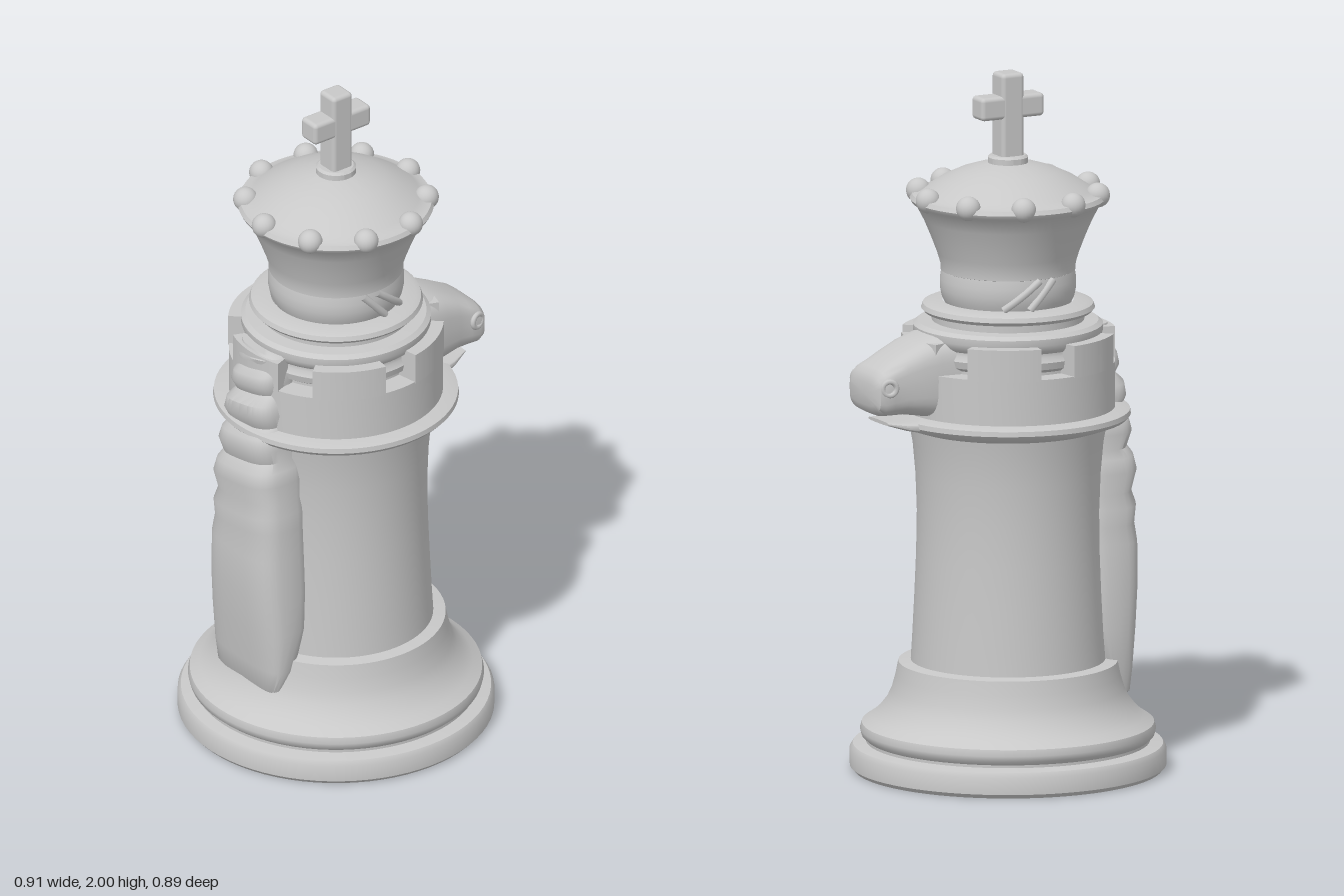
import * as THREE from 'three';
import { toCreasedNormals } from 'three/addons/utils/BufferGeometryUtils.js';
import { RoundedBoxGeometry } from 'three/addons/geometries/RoundedBoxGeometry.js';

const stone = new THREE.MeshStandardMaterial({ color: 0xc8c8c8 });
stone.name = 'stone grey';
const CX = -0.008; // axis of the turned parts

function add(parent, name, geometry, x = 0, y = 0, z = 0) {
  const mesh = new THREE.Mesh(geometry, stone);
  mesh.name = name;
  mesh.position.set(x, y, z);
  parent.add(mesh);
  return mesh;
}

// Turned part from [radius, height] pairs, bottom to top
function turned(profile) {
  const points = profile.map(([r, y]) => new THREE.Vector2(r, y));
  return toCreasedNormals(new THREE.LatheGeometry(points, 72), 0.6);
}

// Closed skin over rings; at(i, c, s) places a point of ring i
function loft(count, at, power, sides = 32) {
  const pos = [], index = [];
  const bend = v => Math.sign(v) * Math.abs(v) ** power;
  for (let i = 0; i < count; i++)
    for (let j = 0; j < sides; j++) {
      const t = (j / sides) * Math.PI * 2;
      pos.push(...at(i, bend(Math.cos(t)), bend(Math.sin(t))));
    }
  pos.push(...at(0, 0, 0), ...at(count - 1, 0, 0));
  const first = count * sides, last = (count - 1) * sides;
  for (let j = 0; j < sides; j++) {
    const k = (j + 1) % sides;
    for (let i = 0; i < count - 1; i++) {
      const a = i * sides + j, b = i * sides + k;
      index.push(a, a + sides, b, b, a + sides, b + sides);
    }
    index.push(first, j, k, first + 1, last + k, last + j);
  }
  const geo = new THREE.BufferGeometry();
  geo.setAttribute('position', new THREE.Float32BufferAttribute(pos, 3));
  geo.setIndex(index);
  return toCreasedNormals(geo, 0.75);
}

// Skin along x from [x, bottom, top, half width]
const loftX = (rows, power) => loft(rows.length, (i, c, s) => {
  const [x, lo, hi, w] = rows[i];
  return [x, (lo + hi) / 2 + c * (hi - lo) / 2, -s * w];
}, power);

export function createModel() {
  const model = new THREE.Group();
  model.name = 'chessPiece';

  // Foot disc and flared plinth
  add(model, 'base', turned([
    [0, 0], [0.435, 0], [0.446, 0.012], [0.446, 0.06], [0.437, 0.074], [0.4, 0.08],
    [0.4, 0.088], [0.413, 0.1], [0.417, 0.116], [0.412, 0.134], [0.385, 0.152], [0.365, 0.17],
    [0.342, 0.2], [0.328, 0.23], [0.317, 0.27], [0.309, 0.31], [0.272, 0.315],
  ]), CX);

  // Waisted column
  add(model, 'column', turned([
    [0.275, 0.3], [0.27, 0.38], [0.264, 0.5], [0.259, 0.62], [0.257, 0.74],
    [0.261, 0.85], [0.269, 0.94], [0.282, 1.01],
  ]), CX);

  // Tower ledge and wall
  add(model, 'towerWall', turned([
    [0.27, 0.985], [0.3, 0.995], [0.335, 1.008], [0.346, 1.02], [0.344, 1.034], [0.33, 1.038],
    [0.302, 1.042], [0.302, 1.172], [0.2, 1.172],
  ]), CX);

  // Six curved battlements
  const R = 0.304, a0 = THREE.MathUtils.degToRad(-20), a1 = -a0;
  const sector = new THREE.Shape();
  sector.absarc(0, 0, R, a0, a1, false);
  sector.absarc(0, 0, 0.23, a1, a0, true);
  sector.closePath();
  const block = toCreasedNormals(new THREE.ExtrudeGeometry(sector, {
    depth: 0.092, bevelEnabled: false, curveSegments: 14,
  }).rotateX(-Math.PI / 2), 0.6);
  for (let i = 0; i < 6; i++)
    add(model, 'battlement', block, CX, 1.168, 0).rotation.y = i * Math.PI / 3;

  // Stacked collars between tower and neck
  add(model, 'collars', turned([
    [0.24, 1.165], [0.24, 1.18], [0.255, 1.19], [0.26, 1.21], [0.25, 1.225], [0.25, 1.235],
    [0.262, 1.245], [0.268, 1.262], [0.268, 1.28], [0.255, 1.29], [0.215, 1.292],
    [0.215, 1.312], [0.236, 1.316], [0.245, 1.326], [0.24, 1.339], [0.225, 1.345],
    [0.185, 1.348],
  ]), CX);

  // Rounded neck with a slanting slit on the front and back
  add(model, 'neck', turned([
    [0.178, 1.34], [0.187, 1.36], [0.192, 1.385], [0.192, 1.41], [0.188, 1.435], [0.17, 1.44],
  ]), CX);
  for (const side of [1, -1])
    for (const [x0, x1, y0, y1] of [[-0.045, 0.03, 1.432, 1.35], [0, 0.1, 1.432, 1.352]]) {
      const pts = [0, 0.25, 0.5, 0.75, 1].map(t => {
        const x = x0 + (x1 - x0) * t;
        return new THREE.Vector3(x, y0 + (y1 - y0) * t, side * Math.sqrt(0.19 ** 2 - x * x));
      });
      add(model, 'slitEdge', new THREE.TubeGeometry(new THREE.CatmullRomCurve3(pts), 16, 0.011, 8), CX);
    }

  // Flared crown, rim and domed top
  add(model, 'crown', turned([
    [0.17, 1.428], [0.19, 1.436], [0.191, 1.455], [0.2, 1.485], [0.217, 1.53], [0.238, 1.58],
    [0.26, 1.622], [0.272, 1.63], [0.277, 1.64], [0.27, 1.652], [0.252, 1.655],
    [0.235, 1.665], [0.19, 1.695], [0.14, 1.718], [0.09, 1.734], [0.057, 1.741],
    [0.057, 1.757], [0.05, 1.763], [0, 1.763],
  ]), CX);
  const bead = new THREE.SphereGeometry(0.035, 20, 14);
  for (let i = 0; i < 10; i++) {
    const t = (i / 10) * Math.PI * 2;
    add(model, 'crownBead', bead, CX + 0.255 * Math.cos(t), 1.653, 0.255 * Math.sin(t));
  }

  // Cross
  add(model, 'crossUpright', new RoundedBoxGeometry(0.07, 0.25, 0.07, 3, 0.012), CX, 1.875, 0);
  add(model, 'crossArm', new RoundedBoxGeometry(0.2, 0.066, 0.068, 3, 0.012), CX, 1.903, 0);

  // Horse muzzle
  const horse = new THREE.Group();
  horse.name = 'horseHead';
  model.add(horse);
  add(horse, 'muzzle', loftX([
    [0.18, 1.04, 1.285, 0.118], [0.26, 1.04, 1.275, 0.113], [0.31, 1.05, 1.258, 0.108],
    [0.36, 1.058, 1.234, 0.1], [0.4, 1.058, 1.212, 0.097], [0.43, 1.06, 1.195, 0.1],
    [0.447, 1.07, 1.18, 0.094], [0.455, 1.09, 1.155, 0.075],
  ], 0.55));
  add(horse, 'lowerJaw', loftX([
    [0.2, 0.985, 1.045, 0.115], [0.29, 0.998, 1.042, 0.102],
    [0.35, 1.012, 1.038, 0.085], [0.405, 1.03, 1.04, 0.06],
  ], 0.6));
  for (const side of [1, -1])
    add(horse, 'nostril', new THREE.TorusGeometry(0.02, 0.008, 8, 20), 0.42, 1.147, side * 0.096)
      .rotation.y = side > 0 ? 0.25 : -0.25;

  // Plaited mane: [height, outer x, inner x, half width]
  const mane = [
    [0.195, -0.33, -0.305, 0.1], [0.215, -0.342, -0.28, 0.135], [0.28, -0.35, -0.24, 0.152],
    [0.4, -0.364, -0.2, 0.158], [0.52, -0.374, -0.19, 0.155], [0.64, -0.376, -0.19, 0.148],
    [0.71, -0.368, -0.19, 0.142], [0.76, -0.374, -0.19, 0.142], [0.8, -0.362, -0.19, 0.132],
    [0.86, -0.379, -0.19, 0.136], [0.9, -0.37, -0.19, 0.128], [0.925, -0.352, -0.19, 0.116],
    [0.97, -0.368, -0.19, 0.122], [1.005, -0.36, -0.19, 0.114], [1.03, -0.334, -0.2, 0.1],
    [1.07, -0.354, -0.2, 0.108], [1.105, -0.35, -0.2, 0.1], [1.13, -0.32, -0.2, 0.088],
    [1.16, -0.336, -0.2, 0.094], [1.19, -0.33, -0.2, 0.09], [1.21, -0.308, -0.2, 0.084],
    [1.24, -0.314, -0.2, 0.088], [1.265, -0.3, -0.2, 0.08],
  ];
  add(model, 'plaitedMane', loft(mane.length, (i, c, s) => {
    const [y, out, inn, w] = mane[i];
    // Strands sag to one side as they cross
    const sag = i > 5 && i < mane.length - 1 ? 0.02 * s : 0;
    return [(out + inn) / 2 + c * (inn - out) / 2, y + sag, w * s];
  }, 0.65));

  return model;
}
